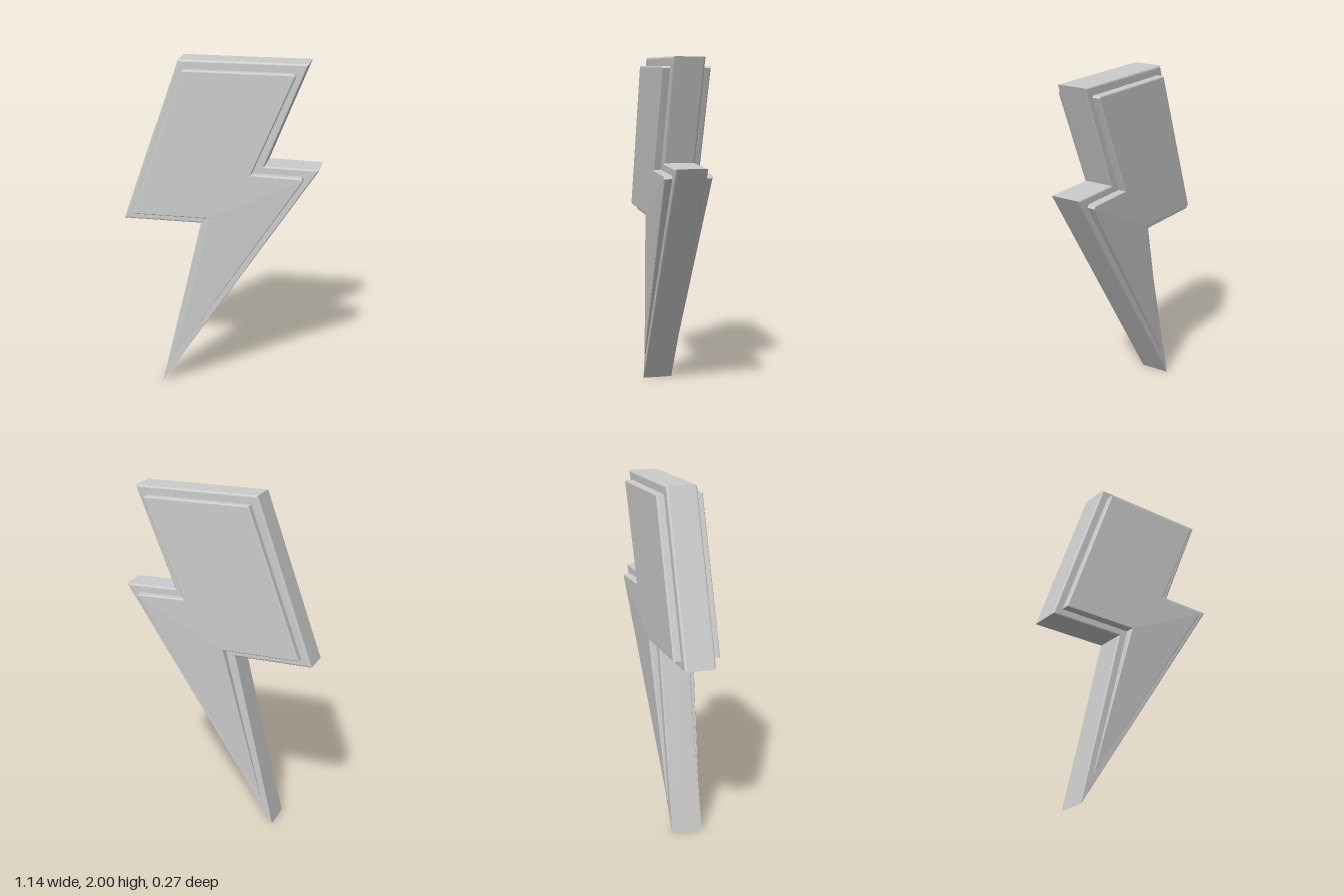
import * as THREE from 'three';

const material = new THREE.MeshStandardMaterial({ color: 0xcccccc });

// Bevelled slab centred on z = 0; its bottom point stays sharp, with its own half depth
function boltSlab(name, points, halfDepth, bevel, tip, tipHalfDepth) {
  const shape = new THREE.Shape(points.map(([x, y]) => new THREE.Vector2(x, y)));
  const geometry = new THREE.ExtrudeGeometry(shape, {
    depth: 2 * (halfDepth - bevel),
    bevelThickness: bevel,
    bevelSize: bevel,
    bevelOffset: -bevel,
    bevelSegments: 3,
  });
  geometry.translate(0, 0, bevel - halfDepth);
  const pos = geometry.attributes.position;
  for (let i = 0; i < pos.count; i++) {
    if (pos.getY(i) < tip[1] + 0.1) {
      pos.setXYZ(i, tip[0], tip[1], pos.getZ(i) * tipHalfDepth / halfDepth);
    }
  }
  geometry.computeVertexNormals();
  const mesh = new THREE.Mesh(geometry, material);
  mesh.name = name;
  return mesh;
}

export function createModel() {
  const group = new THREE.Group();
  group.name = 'lightningBolt';

  // Outer body
  const bodyTip = [-0.355, 0];
  const body = [
    [-0.235, 2], [-0.57, 1.05], [-0.11, 1.05], bodyTip,
    [0.57, 1.41], [0.26, 1.415], [0.495, 2],
  ];
  group.add(boltSlab('body', body, 0.09, 0.012, bodyTip, 0.09));

  // Raised plate on front and back, thinning towards the point
  const plateTip = [-0.278, 0.18];
  const plate = [
    [-0.2, 1.95], [-0.507, 1.095], [-0.05, 1.095], plateTip,
    [0.484, 1.35], [0.476, 1.368], [0.19, 1.373], [0.43, 1.94], [0.42, 1.95],
  ];
  group.add(boltSlab('raisedPlate', plate, 0.135, 0.008, plateTip, 0.097));

  return group;
}
